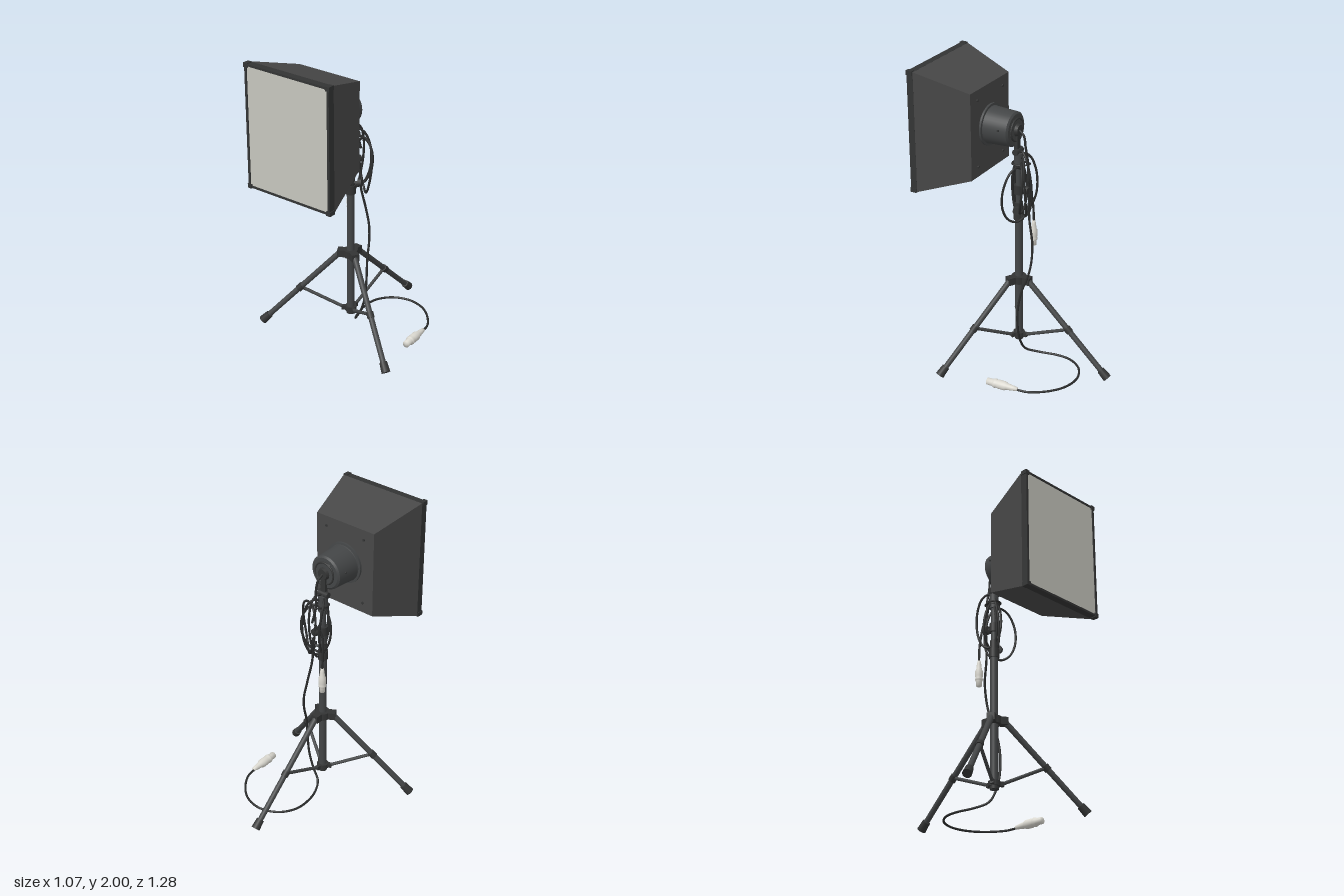
import * as THREE from 'three';

const V = (x, y, z) => new THREE.Vector3(x, y, z);
const mat = (name, color, side = THREE.FrontSide) => {
  const m = new THREE.MeshStandardMaterial({ color, side });
  m.name = name;
  return m;
};

export function createModel() {
  const fabric = mat('dark fabric', 0x474747);
  const trim = mat('black trim', 0x333434);
  const metal = mat('dark metal', 0x434546);
  const rubber = mat('cable rubber', 0x2b2c2c);
  const white = mat('diffuser white', 0xc6c5bd, THREE.DoubleSide);
  const plug = mat('pale plastic', 0xdad8d0);

  const root = new THREE.Group();
  root.name = 'studioSoftboxLight';
  const PZ = 0.03; // pole depth

  const add = (name, geo, m, p = [0, 0, 0], parent = root) => {
    const mesh = new THREE.Mesh(geo, m);
    mesh.name = name;
    mesh.position.set(...p);
    parent.add(mesh);
    return mesh;
  };
  // Cylinder running from a to b
  const rod = (name, a, b, ra, rb, m, sides = 16, parent = root) => {
    const d = b.clone().sub(a);
    const mid = a.clone().add(b).multiplyScalar(0.5).toArray();
    const mesh = add(name, new THREE.CylinderGeometry(rb, ra, d.length(), sides), m, mid, parent);
    mesh.quaternion.setFromUnitVectors(V(0, 1, 0), d.normalize());
    return mesh;
  };
  const cable = (name, pts, closed = false, r = 0.0075) => {
    const curve = new THREE.CatmullRomCurve3(pts.map(p => V(...p)), closed);
    return add(name, new THREE.TubeGeometry(curve, 90, r, 8, closed), rubber);
  };

  // ---- Softbox: tapered box, rim, diffuser ----
  const W = 0.315, H = 0.4, CY = 1.595;
  const shell = new THREE.BoxGeometry(2 * W, 2 * H, 0.355);
  const pos = shell.attributes.position;
  for (let i = 0; i < pos.count; i++) {
    if (pos.getZ(i) < 0) {
      pos.setX(i, Math.sign(pos.getX(i)) * 0.228);
      pos.setY(i, pos.getY(i) > 0 ? 0.295 : -0.278);
    }
  }
  shell.computeVertexNormals();
  add('softboxShell', shell, fabric, [0, CY, 0.4125]);

  const rimShape = new THREE.Shape([[-W, -H], [W, -H], [W, H], [-W, H]].map(p => new THREE.Vector2(...p)));
  const iw = W - 0.016, ih = H - 0.014;
  rimShape.holes.push(new THREE.Path([[-iw, -ih], [-iw, ih], [iw, ih], [iw, -ih]].map(p => new THREE.Vector2(...p))));
  add('softboxRim', new THREE.ExtrudeGeometry(rimShape, { depth: 0.045, bevelEnabled: false }), trim, [0, CY, 0.588]);
  add('diffuser', new THREE.PlaneGeometry(2 * iw, 2 * ih), white, [0, CY, 0.628]);
  for (const sx of [-1, 1]) for (const sy of [-1, 1]) {
    add('cornerCap', new THREE.BoxGeometry(0.03, 0.028, 0.044), trim, [sx * (W - 0.01), CY + sy * (H - 0.009), 0.614]);
    const screw = add('backScrew', new THREE.CylinderGeometry(0.008, 0.008, 0.008, 10), trim, [sx * 0.15, 1.605 + sy * 0.22, 0.232]);
    screw.rotation.x = Math.PI / 2;
  }

  // ---- Lamp housing, revolved about z ----
  const housing = [[0, 0], [0.07, 0], [0.075, 0.008], [0.1, 0.008], [0.112, 0.018], [0.12, 0.175],
    [0.122, 0.18], [0.136, 0.182], [0.136, 0.205]];
  const lathe = new THREE.LatheGeometry(housing.flatMap(([r, h], i) =>
    i && i < housing.length - 1 ? [[r, h], [r, h]] : [[r, h]]).map(p => new THREE.Vector2(...p)), 40);
  add('lampHousing', lathe, metal, [0, 1.62, 0.04]).rotation.x = Math.PI / 2;
  add('housingRing', new THREE.TorusGeometry(0.072, 0.006, 8, 32), trim, [0, 1.62, 0.042]);
  rod('rearSocket', V(0, 1.62, 0.02), V(0, 1.62, 0.05), 0.035, 0.045, trim, 20);
  for (const s of [-1, 1]) {
    rod('housingScrew', V(s * 0.112, 1.64, 0.11), V(s * 0.121, 1.64, 0.11), 0.006, 0.006, trim, 8);
  }
  // Tilt bracket joining housing and pole
  add('tiltBracket', new THREE.BoxGeometry(0.035, 0.14, 0.025), trim, [0, 1.53, 0.04]);
  rod('tiltPivot', V(-0.04, 1.48, 0.035), V(0.04, 1.48, 0.035), 0.02, 0.02, trim);

  // ---- Centre pole and collars ----
  const stack = [
    ['lowerPole', 0.13, 1.04, 0.025, metal], ['upperPole', 1.0, 1.48, 0.019, metal],
    ['poleFootCap', 0.13, 0.15, 0.028, trim], ['poleClamp', 1.01, 1.07, 0.033, trim],
    ['clampNeck', 1.07, 1.13, 0.027, trim], ['middleCollar', 1.19, 1.25, 0.031, trim],
    ['headSleeve', 1.36, 1.47, 0.03, metal], ['headSleeveRing', 1.385, 1.4, 0.034, trim],
    ['hub', 0.555, 0.605, 0.046, trim], ['braceCollar', 0.15, 0.182, 0.038, trim],
  ];
  for (const [name, y0, y1, r, m] of stack) rod(name, V(0, y0, PZ), V(0, y1, PZ), r, r, m, 24);

  // Locking knobs
  const knob = (a, b) => {
    rod('knobStem', a, b, 0.009, 0.009, metal, 8);
    const dir = b.clone().sub(a).normalize().multiplyScalar(0.024);
    rod('knobHead', b, b.clone().add(dir), 0.027, 0.024, trim, 12);
  };
  knob(V(0.01, 1.09, PZ), V(0.05, 1.095, 0.015));
  knob(V(0, 1.23, PZ), V(0.008, 1.23, -0.025));

  // ---- Three legs with braces ----
  const feet = [V(0.505, 0.032, 0.325), V(-0.505, 0.032, 0.325), V(0, 0.03, -0.62)];
  for (const foot of feet) {
    const leg = new THREE.Group();
    leg.name = 'tripodLeg';
    root.add(leg);
    const out = V(foot.x, 0, foot.z - PZ).normalize();
    const at = (r, y) => V(out.x * r, y, PZ + out.z * r);
    const top = at(0.068, 0.58);
    const dir = foot.clone().sub(top).normalize();
    const along = t => top.clone().lerp(foot, t);
    rod('legTube', top, foot, 0.019, 0.018, metal, 16, leg);
    rod('rubberFoot', foot.clone().addScaledVector(dir, -0.055), foot.clone().addScaledVector(dir, 0.012), 0.025, 0.029, trim, 16, leg);
    const joint = along(0.51);
    rod('braceClip', along(0.49), along(0.54), 0.024, 0.024, trim, 16, leg);
    rod('brace', at(0.04, 0.165), joint, 0.011, 0.011, metal, 10, leg);
    // Hub lug and brace lug
    const yaw = Math.atan2(out.x, out.z);
    add('hubLug', new THREE.BoxGeometry(0.05, 0.05, 0.055), trim, at(0.058, 0.58).toArray(), leg).rotation.y = yaw;
    add('braceLug', new THREE.BoxGeometry(0.024, 0.028, 0.03), trim, at(0.045, 0.167).toArray(), leg).rotation.y = yaw;
  }

  // ---- Cables ----
  // Lead from the housing down to the coil
  cable('housingLead', [[0, 1.62, 0.025], [0.005, 1.59, -0.01], [0.01, 1.52, -0.025], [0.0, 1.42, -0.035], [0.02, 1.3, -0.05]]);
  // Coiled loops: [centre x, y, z, half width, half height, yaw]
  const loops = [
    [0.01, 1.26, 0.0, 0.075, 0.225, 1.4], [0.03, 1.25, -0.005, 0.085, 0.2, 0.9],
    [-0.02, 1.27, 0.0, 0.08, 0.19, 2.2], [0.09, 1.22, 0.0, 0.1, 0.185, -0.5],
    [0.02, 1.24, -0.01, 0.1, 0.17, 0.35],
  ];
  loops.forEach(([x, y, z, w, h, yaw], k) => {
    const pts = [];
    for (let i = 0; i < 12; i++) {
      const a = i / 12 * Math.PI * 2;
      const u = Math.cos(a) * w, v = 0.012 * Math.sin(2 * a + k);
      pts.push([x + u * Math.cos(yaw) + v * Math.sin(yaw), y + Math.sin(a) * h, z - u * Math.sin(yaw) + v * Math.cos(yaw)]);
    }
    cable('coilLoop', pts, true);
  });
  cable('coilTie', [[-0.03, 1.4, 0.03], [0, 1.41, -0.05], [0.04, 1.4, 0], [0.03, 1.4, 0.06], [-0.02, 1.4, 0.065]], true, 0.006);
  cable('hangingLead', [[0.0, 1.3, -0.05], [-0.045, 1.22, -0.03], [-0.06, 1.1, -0.04], [-0.06, 0.97, -0.047]]);
  cable('floorLead', [[0.01, 1.2, -0.05], [0.015, 1.03, -0.055], [0.03, 0.88, -0.085], [0.055, 0.75, -0.092], [0.07, 0.65, -0.075],
    [0.085, 0.53, -0.035], [0.095, 0.4, -0.015], [0.085, 0.25, -0.01], [0.05, 0.14, -0.01], [0.0, 0.06, -0.02],
    [-0.045, 0.033, -0.1], [-0.073, 0.03, -0.22], [-0.066, 0.03, -0.32], [-0.01, 0.03, -0.41], [0.07, 0.03, -0.456],
    [0.15, 0.03, -0.467], [0.25, 0.03, -0.44], [0.34, 0.03, -0.37], [0.41, 0.032, -0.27], [0.425, 0.035, -0.19]]);

  // Plug profile, cable end at the top
  const plugPts = [[0, 0], [0.021, 0], [0.021, 0.04], [0.026, 0.042], [0.028, 0.055], [0.024, 0.062], [0.027, 0.075],
    [0.027, 0.115], [0.02, 0.13], [0.016, 0.165], [0.011, 0.195], [0, 0.195]].map(p => new THREE.Vector2(...p));
  const makePlug = (name, p, toward, s) => {
    const m = add(name, new THREE.LatheGeometry(plugPts, 20), plug, p);
    m.quaternion.setFromUnitVectors(V(0, 1, 0), toward.normalize());
    m.scale.setScalar(s);
  };
  makePlug('hangingPlug', [-0.06, 0.82, -0.045], V(0, 1, 0), 0.9);
  makePlug('floorPlug', [0.437, 0.04, 0.012], V(-0.012, 0, -0.22), 1.1);

  return root;
}
